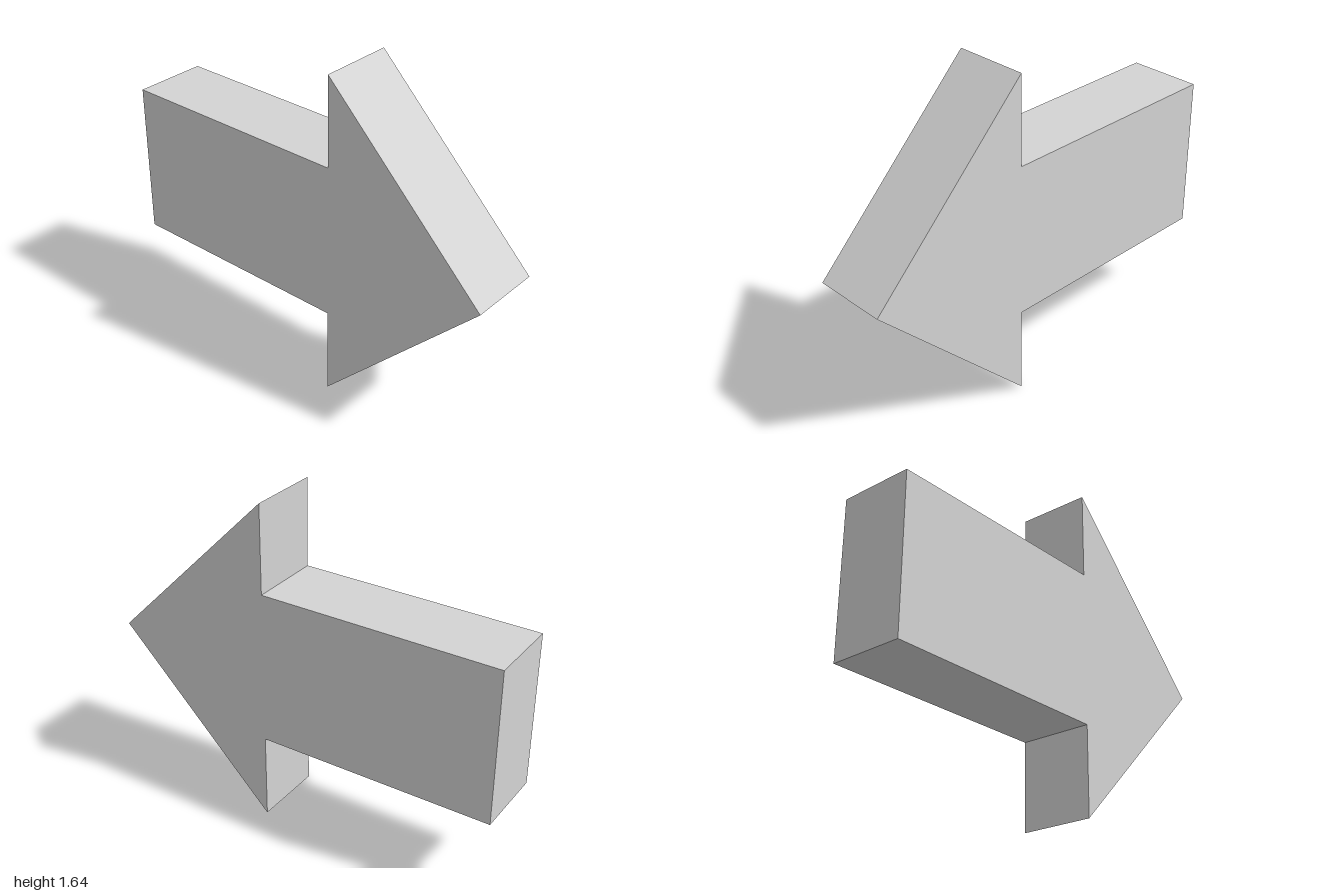
import * as THREE from 'three';

export function createModel() {
  const group = new THREE.Group();
  group.name = 'arrow';

  const lightGrey = new THREE.MeshStandardMaterial({ color: 0xd4d4d4 });
  lightGrey.name = 'lightGrey';

  const width = 0.366;     // thickness along x
  const mid = 0.819;       // height of the tip and centre line
  const neck = 0.183;      // z where the head meets the shaft
  const shaftHalf = 0.383; // half the shaft height

  // Side profile: (z, y), mirrored about the centre line
  const upper = [[-1, shaftHalf], [neck, shaftHalf], [neck, mid], [1, 0]];
  const lower = upper.slice(0, 3).reverse().map(([z, y]) => [z, -y]);
  const profile = new THREE.Shape(
    [...upper, ...lower].map(([z, y]) => new THREE.Vector2(z, mid + y))
  );

  // Extrude, then turn so that the profile points to +z
  const geometry = new THREE.ExtrudeGeometry(profile, { depth: width, bevelEnabled: false });
  geometry.translate(0, 0, -width / 2);
  geometry.rotateY(-Math.PI / 2);

  const body = new THREE.Mesh(geometry, lightGrey);
  body.name = 'arrowBody';
  group.add(body);
  return group;
}
